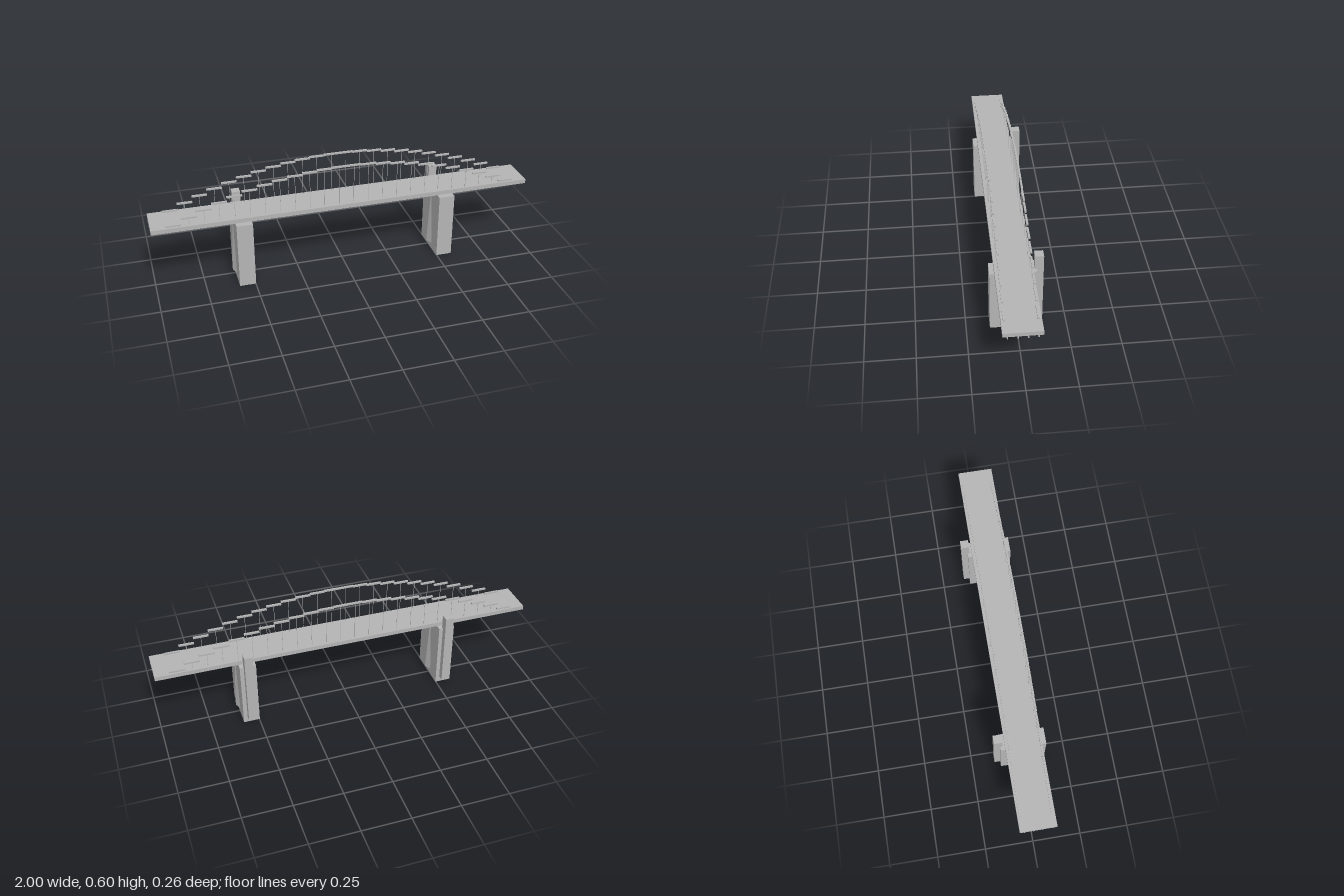
import * as THREE from 'three';

const concrete = new THREE.MeshStandardMaterial({ color: 0xb4b4b4 });
concrete.name = 'concrete grey';

// Box given by its min and max corners
function box(parent, name, [x0, y0, z0], [x1, y1, z1]) {
  const mesh = new THREE.Mesh(new THREE.BoxGeometry(x1 - x0, y1 - y0, z1 - z0), concrete);
  mesh.position.set((x0 + x1) / 2, (y0 + y1) / 2, (z0 + z1) / 2);
  mesh.name = name;
  parent.add(mesh);
  return mesh;
}

// Tapered three-sided buttress leaning on a pier face, pointing along +x
function buttressGeometry() {
  const section = (y, out, half) => [[0, y, half], [out, y, 0], [0, y, -half]];
  const [a, b, c] = section(0.032, 0.0165, 0.036);
  const [d, e, f] = section(0.308, 0.003, 0.005);
  const triangles = [a, b, e, a, e, d, b, c, f, b, f, e, a, c, b, d, e, f];
  const geometry = new THREE.BufferGeometry();
  geometry.setAttribute('position', new THREE.Float32BufferAttribute(triangles.flat(), 3));
  geometry.computeVertexNormals();
  return geometry;
}

export function createModel() {
  const bridge = new THREE.Group();
  bridge.name = 'archBridge';

  // Deck and the girders below it
  box(bridge, 'deck', [-1, 0.36, -0.076], [1, 0.382, 0.109]);
  for (const z of [0.086, 0.039, -0.007, -0.053]) {
    box(bridge, 'girder', [-1, 0.347, z - 0.003], [1, 0.361, z + 0.003]);
  }

  // Piers with buttresses on both faces and a tower behind
  const buttress = buttressGeometry();
  for (const x of [-0.54, 0.54]) {
    const support = new THREE.Group();
    support.name = 'support';
    support.position.x = x;
    box(support, 'pier', [-0.042, 0, -0.099], [0.042, 0.354, 0.132]);
    box(support, 'tower', [-0.0215, 0.032, -0.131], [0.0215, 0.431, -0.088]);
    for (const side of [1, -1]) {
      const mesh = new THREE.Mesh(buttress, concrete);
      mesh.name = 'buttress';
      mesh.position.set(side * 0.042, 0, 0.016);
      mesh.rotation.y = side > 0 ? 0 : Math.PI;
      support.add(mesh);
    }
    bridge.add(support);
  }

  // Stepped parabolic arches with thin hangers down to the deck
  const count = 24, step = 0.077;
  for (const z of [0.094, -0.061]) {
    const arch = new THREE.Group();
    arch.name = 'arch';
    for (let i = 0; i < count; i++) {
      const x = (i - (count - 1) / 2) * step;
      const y = 0.5935 - 0.263 * x * x;
      box(arch, 'archSegment', [x - 0.0395, y - 0.0043, z - 0.005], [x + 0.0395, y + 0.0043, z + 0.005]);
      box(arch, 'hanger', [x - 0.001, 0.38, z - 0.001], [x + 0.001, y, z + 0.001]);
    }
    bridge.add(arch);
  }
  return bridge;
}
